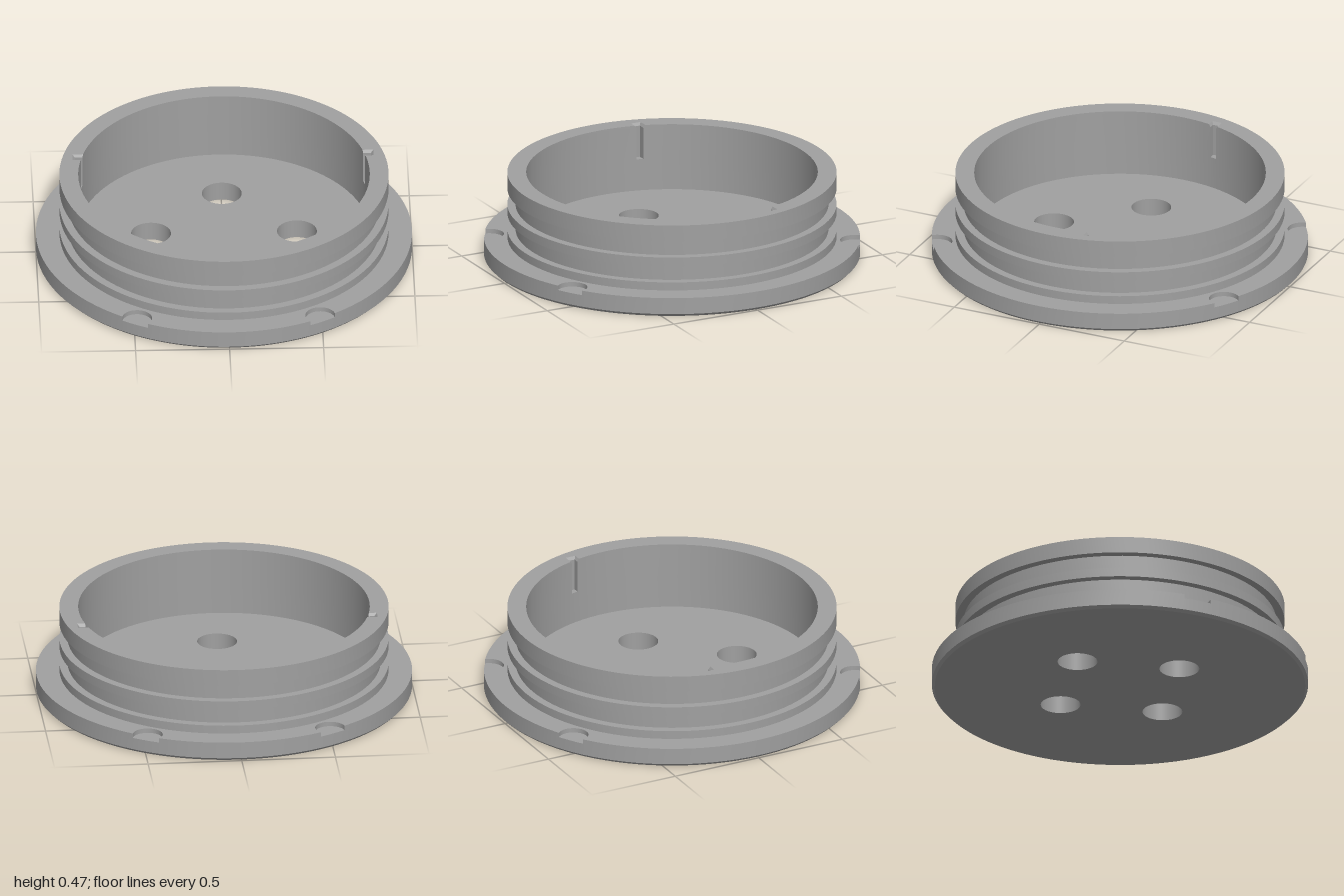
import * as THREE from 'three';
import { toCreasedNormals } from 'three/addons/utils/BufferGeometryUtils.js';

const V = (x, y) => new THREE.Vector2(x, y);
const polar = (r, a) => V(r * Math.cos(a), r * Math.sin(a));
const angleOf = p => (Math.atan2(p.y, p.x) + 2 * Math.PI) % (2 * Math.PI);
const crease = g => toCreasedNormals(g, 0.5);

// Circle interrupted by cut-outs (lists of points starting and ending on the
// circle, counterclockwise). Returns the cut outline and its uncut twin.
function contour(R, cuts, arcSteps) {
  const cut = [], plain = [];
  cuts.forEach((pts, k) => {
    const a0 = angleOf(pts[0]), a1 = angleOf(pts[pts.length - 1]);
    pts.forEach((p, i) => {
      cut.push(p);
      plain.push(polar(R, a0 + (a1 - a0) * i / (pts.length - 1)));
    });
    let next = angleOf(cuts[(k + 1) % cuts.length][0]);
    if (next < a1) next += 2 * Math.PI;
    for (let i = 1; i < arcSteps; i++) {
      const p = polar(R, a1 + (next - a1) * i / arcSteps);
      cut.push(p);
      plain.push(p);
    }
  });
  return { cut, plain };
}

// Wall through a stack of outlines [height, points]; inward flips the faces
function loft(levels, inward = false) {
  const pos = [];
  const tri = (a, b, c) => {
    const area = b.clone().sub(a).cross(c.clone().sub(a)).length();
    if (area < 1e-9) return;
    for (const p of inward ? [a, c, b] : [a, b, c]) pos.push(p.x, p.y, p.z);
  };
  for (let l = 0; l < levels.length - 1; l++) {
    const [y0, lo] = levels[l], [y1, hi] = levels[l + 1];
    for (let i = 0; i < lo.length; i++) {
      const j = (i + 1) % lo.length;
      const at = (p, y) => new THREE.Vector3(p.x, y, -p.y);
      const a = at(lo[i], y0), b = at(lo[j], y0), c = at(hi[j], y1), d = at(hi[i], y1);
      tri(a, b, c);
      tri(a, c, d);
    }
  }
  const g = new THREE.BufferGeometry();
  g.setAttribute('position', new THREE.Float32BufferAttribute(pos, 3));
  return crease(g);
}

// Horizontal face with holes
function plate(outline, holes, y, down = false) {
  const shape = new THREE.Shape(outline);
  shape.holes = holes.map(h => new THREE.Path(h));
  return new THREE.ShapeGeometry(shape).rotateX(down ? Math.PI / 2 : -Math.PI / 2).translate(0, y, 0);
}

const circle = (r, n, cx = 0, cy = 0) =>
  Array.from({ length: n }, (_, i) => polar(r, i * 2 * Math.PI / n).add(V(cx, cy)));

export function createModel() {
  const group = new THREE.Group();
  const grey = new THREE.MeshStandardMaterial({ color: 0xa0a0a0 });
  grey.name = 'grey';
  const add = (name, geometry) => {
    const mesh = new THREE.Mesh(geometry, grey);
    mesh.name = name;
    group.add(mesh);
    return mesh;
  };

  const flangeTop = 0.105, top = 0.47, inner = 0.775, outer = 0.875;

  // Flange rim with four round finger notches and a chamfered lower edge
  const notches = [60, 120, 240, 300].map(deg => {
    const a = deg * Math.PI / 180, d = 0.974, r = 0.08;
    const reach = Math.acos((1 - d * d - r * r) / (2 * d * r));
    const centre = polar(d, a), pts = [];
    for (let i = 0; i <= 20; i++) {
      const t = a - reach - (2 * Math.PI - 2 * reach) * i / 20;
      pts.push(polar(r, t).add(centre));
    }
    return pts;
  });
  const rim = contour(1, notches, 32);
  const chamfer = rim.plain.map(p => p.clone().multiplyScalar(0.985));
  add('flangeRim', loft([
    [0, chamfer], [0.015, rim.plain], [0.08, rim.plain], [0.08, rim.cut], [flangeTop, rim.cut],
  ]));

  // Base faces and the four through holes
  const centres = [[0.388, 0], [-0.388, 0], [0, 0.388], [0, -0.388]];
  const holes = centres.map(([x, y]) => circle(0.106, 48, x, y));
  add('floor', plate(rim.cut, holes, flangeTop));
  add('underside', plate(chamfer, holes, 0, true));
  const holeWall = new THREE.LatheGeometry([V(0.106, flangeTop), V(0.106, 0)], 48);
  for (const [x, z] of centres) add('holeWall', holeWall).position.set(x, 0, z);

  // Outer wall with two seal grooves
  const groove = 0.832;
  const profile = [
    V(outer, flangeTop), V(outer, 0.15), V(groove, 0.15), V(groove, 0.24), V(outer, 0.24),
    V(outer, 0.29), V(groove, 0.29), V(groove, 0.38), V(outer, 0.38), V(outer, top),
  ];
  add('groovedWall', crease(new THREE.LatheGeometry(profile, 128)));

  // Inner wall with two key slots that widen at the top
  const slots = (half, depth) => {
    const s0 = 0.192 - half, s1 = 0.192 + half;
    const wall = s => Math.sqrt(inner * inner - s * s);
    const right = [V(wall(s0), s0), V(depth, s0), V(depth, s1), V(wall(s1), s1)];
    const left = right.map(p => V(-p.x, p.y)).reverse();
    return contour(inner, [right, left], 64);
  };
  const narrow = slots(0.018, 0.787), wide = slots(0.028, 0.8);
  add('innerWall', loft([
    [flangeTop, narrow.plain], [0.28, narrow.plain], [0.28, narrow.cut],
    [0.455, narrow.cut], [top, wide.cut],
  ], true));
  add('topRim', plate(circle(outer, 128), [wide.cut], top));

  return group;
}
